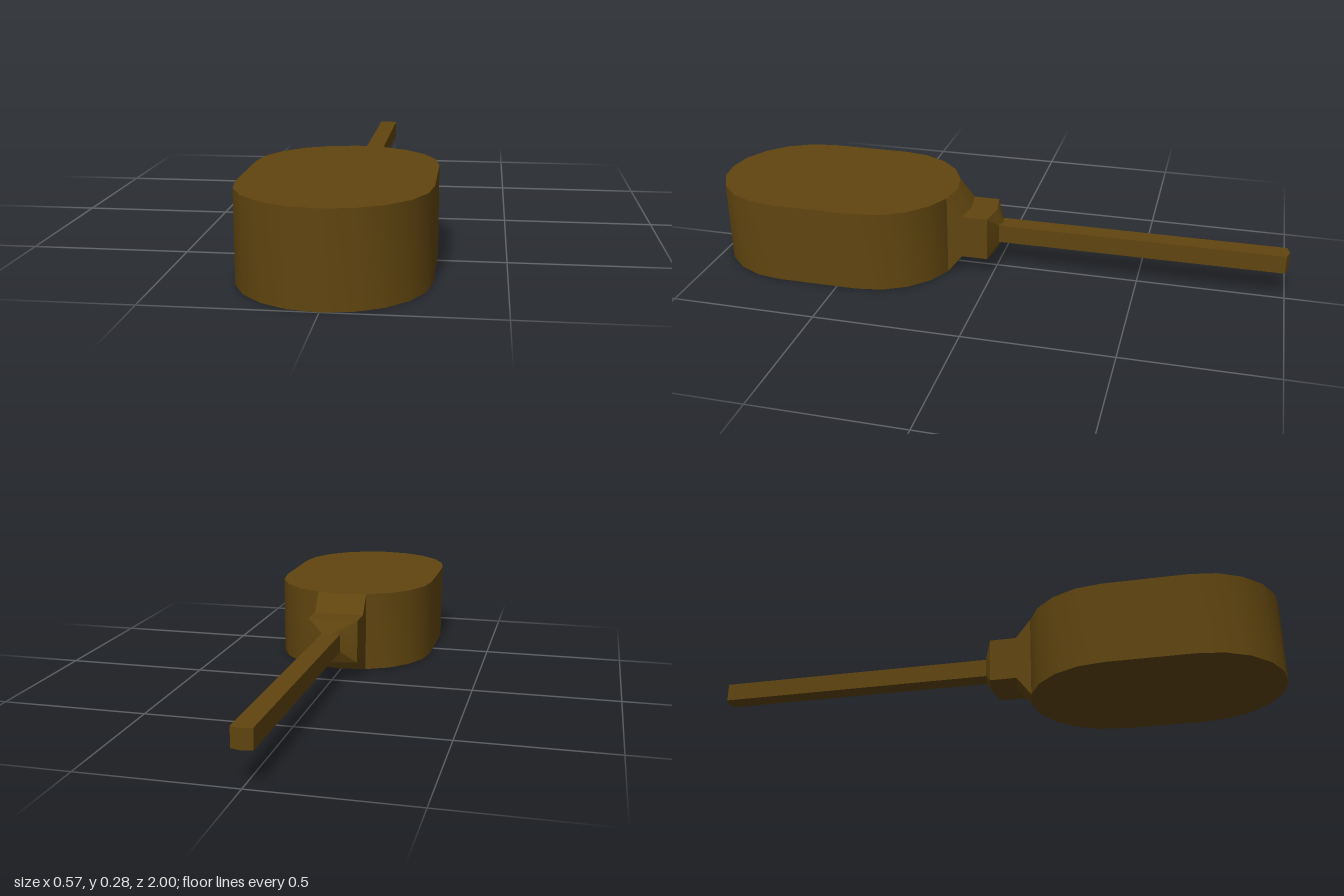
import * as THREE from 'three';
import { toCreasedNormals } from 'three/addons/utils/BufferGeometryUtils.js';

const CREASE = 0.42;
const material = new THREE.MeshStandardMaterial({ color: 0x60450f });

// Long oval slab: two ten-sided half rounds joined by straight sides.
function bodyGeometry(radius, backZ, frontZ, height) {
  const points = [];
  for (const [start, z] of [[0, backZ], [Math.PI, frontZ]]) {
    for (let i = 0; i <= 10; i++) {
      const a = start + (i / 10) * Math.PI;
      points.push(new THREE.Vector2(radius * Math.cos(a), -z + radius * Math.sin(a)));
    }
  }
  const geometry = new THREE.ExtrudeGeometry(new THREE.Shape(points), { depth: height, bevelEnabled: false });
  return geometry.rotateX(-Math.PI / 2);
}

// Loft of slightly bowed rectangles running towards -z.
// Each section: [half width, bottom, top, z at the sides, z at the middle].
function loftGeometry(sections) {
  const positions = [];
  const indices = [];
  for (const [w, y0, y1, zSide, zMid] of sections) {
    positions.push(-w, y0, zSide, 0, y0, zMid, w, y0, zSide);
    positions.push(w, y1, zSide, 0, y1, zMid, -w, y1, zSide);
  }
  for (let s = 0; s < sections.length - 1; s++) {
    for (let i = 0; i < 6; i++) {
      const a = s * 6 + i;
      const b = s * 6 + ((i + 1) % 6);
      indices.push(a, a + 6, b, b, a + 6, b + 6);
    }
  }
  // Back end cap
  const e = (sections.length - 1) * 6;
  for (const i of [0, 4, 1, 0, 5, 4, 1, 3, 2, 1, 4, 3]) indices.push(e + i);
  const geometry = new THREE.BufferGeometry();
  geometry.setAttribute('position', new THREE.Float32BufferAttribute(positions, 3));
  geometry.setIndex(indices);
  return geometry;
}

export function createModel() {
  const group = new THREE.Group();
  const add = (name, geometry) => {
    const mesh = new THREE.Mesh(toCreasedNormals(geometry, CREASE), material);
    mesh.name = name;
    group.add(mesh);
  };

  add('body', bodyGeometry(0.287, 0.43, 0.713, 0.283));

  // Stepped collar growing out of the back of the body
  add('collar', loftGeometry([
    [0.089, 0, 0.283, 0.157, 0.143],
    [0.089, 0.066, 0.218, 0.106, 0.092],
    [0.089, 0.066, 0.218, 0.014, 0],
    [0.033, 0.11, 0.173, -0.014, -0.024],
  ]));

  // Slim square rod
  add('handle', loftGeometry([
    [0.033, 0.11, 0.173, -0.014, -0.024],
    [0.033, 0.11, 0.173, -0.99, -1],
  ]));

  return group;
}
